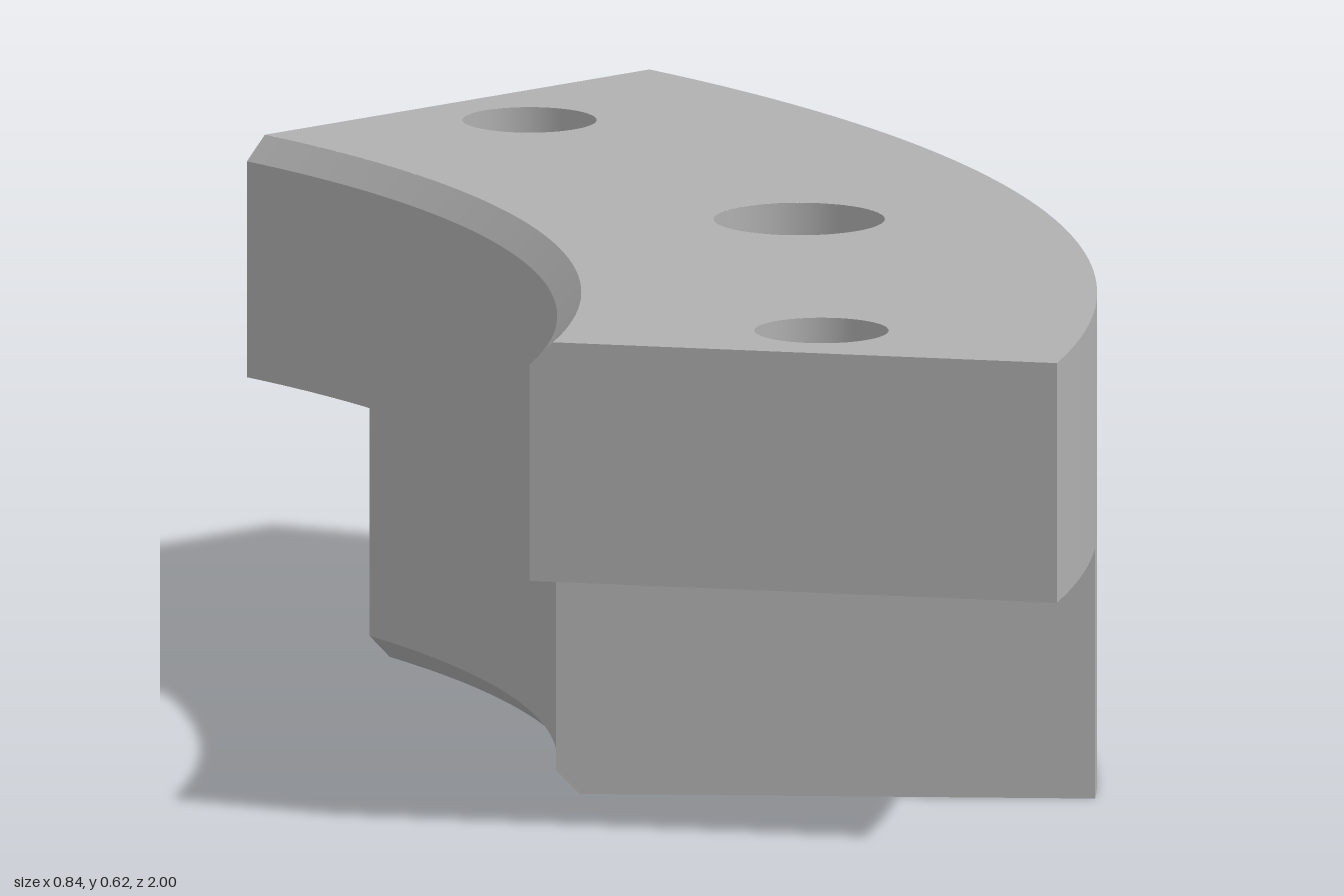
import * as THREE from 'three';

const CX = -1.78;                       // centre of the ring segment lies at x = CX
const R_IN = 1.525, R_OUT = 2.2, CH = 0.03;
const H = 0.625, LEDGE = 0.32;          // total height, underside of the end lugs
const A_TOP = Math.asin(1 / R_OUT);     // half angle of the upper flange
const A_LOW = Math.asin(0.66 / R_OUT);  // half angle of the lower body
const SLOT = { back: -0.1, z: 0.19, y0: 0.2, y1: 0.43 };
const A_SLOT = Math.asin(SLOT.z / R_OUT);
const BOLT = { x: -0.05, z: 0.717, r: 0.084 };
const BORE = { x: 0.11, r: 0.107, thread: 0.086, crest: 0.07 };

// Turn a surface inside out
function flip(g) {
  const idx = g.index.array;
  for (let i = 0; i < idx.length; i += 3) [idx[i], idx[i + 1]] = [idx[i + 1], idx[i]];
  const n = g.attributes.normal.array;
  for (let i = 0; i < n.length; i++) n[i] = -n[i];
  return g;
}

// Ring sector outline with round holes given as [x, y, radius]
function sector(r0, r1, a0, a1, holes = []) {
  const s = new THREE.Shape();
  s.absarc(CX, 0, r1, a0, a1, false);
  s.absarc(CX, 0, r0, a1, a0, true);
  return pierce(s, holes);
}

function pierce(s, holes) {
  for (const [x, y, r] of holes) {
    const p = new THREE.Path();
    p.absarc(x, y, r, 0, Math.PI * 2, true);
    s.holes.push(p);
  }
  return s;
}

// Horizontal face at height y, facing up or down
function face(shape, y, up) {
  return new THREE.ShapeGeometry(shape, 48).rotateX(up ? -Math.PI / 2 : Math.PI / 2).translate(0, y, 0);
}

// Curved wall between two heights and two angles
function arcWall(rLow, rHigh, y0, y1, a0, a1) {
  return new THREE.CylinderGeometry(rHigh, rLow, y1 - y0, 48, 1, true, Math.PI / 2 - a1, a1 - a0)
    .translate(CX, (y0 + y1) / 2, 0);
}

// Flat radial end face from a radius/height outline
function endWall(pts, side, a) {
  const g = new THREE.ShapeGeometry(new THREE.Shape(pts.map(p => new THREE.Vector2(...p))));
  g.rotateY(-side * a).translate(CX, 0, 0);
  return side > 0 ? g : flip(g);
}

// Inside of a round hole
function holeWall(x, z, r, y0, y1) {
  return flip(new THREE.CylinderGeometry(r, r, y1 - y0, 48, 1, true)).translate(x, (y0 + y1) / 2, z);
}

export function createModel() {
  const model = new THREE.Group();
  const grey = new THREE.MeshStandardMaterial({ color: 0xb0b0b0 });
  grey.name = 'plain grey';
  const add = (name, g) => {
    const m = new THREE.Mesh(g, grey);
    m.name = name;
    model.add(m);
  };
  const bolts = [1, -1].map(s => [BOLT.x, s * BOLT.z, BOLT.r]);

  // Top and bottom faces
  add('topFace', face(sector(R_IN + CH, R_OUT, -A_TOP, A_TOP, [...bolts, [BORE.x, 0, BORE.r]]), H, true));
  add('bottomFace', face(sector(R_IN + CH, R_OUT, -A_LOW, A_LOW, [[BORE.x, 0, BORE.thread]]), 0, false));

  // Concave inner walls with chamfers
  add('upperInnerWall', flip(arcWall(R_IN, R_IN, LEDGE, H - CH, -A_TOP, A_TOP)));
  add('topChamfer', flip(arcWall(R_IN, R_IN + CH, H - CH, H, -A_TOP, A_TOP)));
  add('lowerInnerWall', flip(arcWall(R_IN, R_IN, CH, LEDGE, -A_LOW, A_LOW)));
  add('bottomChamfer', flip(arcWall(R_IN + CH, R_IN, 0, CH, -A_LOW, A_LOW)));

  // Convex outer wall above and below the slot
  add('outerWallAboveSlot', arcWall(R_OUT, R_OUT, SLOT.y1, H, -A_SLOT, A_SLOT));
  add('outerWallBelowSlot', arcWall(R_OUT, R_OUT, 0, SLOT.y0, -A_SLOT, A_SLOT));

  const upperEnd = [[R_IN, LEDGE], [R_OUT, LEDGE], [R_OUT, H], [R_IN + CH, H], [R_IN, H - CH]];
  const lowerEnd = [[R_IN + CH, 0], [R_OUT, 0], [R_OUT, LEDGE], [R_IN, LEDGE], [R_IN, CH]];
  const slotFront = CX + R_OUT * Math.cos(A_SLOT);
  const slotH = SLOT.y1 - SLOT.y0, slotMid = (SLOT.y0 + SLOT.y1) / 2;

  // Mirrored parts at both ends
  for (const s of [1, -1]) {
    const span = (a, b) => (s > 0 ? [a, b] : [-b, -a]);
    add('upperOuterWall', arcWall(R_OUT, R_OUT, LEDGE, H, ...span(A_SLOT, A_TOP)));
    add('lowerOuterWall', arcWall(R_OUT, R_OUT, 0, LEDGE, ...span(A_SLOT, A_LOW)));
    add('upperEndWall', endWall(upperEnd, s, A_TOP));
    add('lowerEndWall', endWall(lowerEnd, s, A_LOW));
    const bolt = [[BOLT.x, s * BOLT.z, BOLT.r]];
    add('lugUnderside', face(sector(R_IN, R_OUT, ...span(A_LOW, A_TOP), bolt), LEDGE, false));
    add('boltHole', holeWall(BOLT.x, s * BOLT.z, BOLT.r, LEDGE, H));
    const side = new THREE.PlaneGeometry(slotFront - SLOT.back, slotH);
    side.translate((slotFront + SLOT.back) / 2, slotMid, s * SLOT.z);
    add('slotSide', s > 0 ? flip(side) : side);
  }

  // Slot floor, ceiling and back
  const slotShape = r => {
    const p = new THREE.Shape();
    p.moveTo(SLOT.back, -SLOT.z);
    p.absarc(CX, 0, R_OUT, -A_SLOT, A_SLOT, false);
    p.lineTo(SLOT.back, SLOT.z);
    return pierce(p, [[BORE.x, 0, r]]);
  };
  add('slotFloor', face(slotShape(BORE.thread), SLOT.y0, true));
  add('slotCeiling', face(slotShape(BORE.r), SLOT.y1, false));
  add('slotBack', new THREE.PlaneGeometry(2 * SLOT.z, slotH).rotateY(Math.PI / 2).translate(SLOT.back, slotMid, 0));

  // Wide bore from the top, threaded hole below the slot
  add('bore', holeWall(BORE.x, 0, BORE.r, SLOT.y1, H));
  const thread = new THREE.CylinderGeometry(1, 1, SLOT.y0, 40, 48, true).translate(0, SLOT.y0 / 2, 0);
  const pos = thread.attributes.position;
  for (let i = 0; i < pos.count; i++) {
    const x = pos.getX(i), y = pos.getY(i), z = pos.getZ(i);
    const turn = y / 0.04 + Math.atan2(z, x) / (2 * Math.PI) + 2;
    const ridge = 1 - Math.abs(2 * (turn - Math.floor(turn)) - 1);
    const atEnd = y < 0.001 || y > SLOT.y0 - 0.001;
    const r = atEnd ? BORE.thread : BORE.thread - (BORE.thread - BORE.crest) * ridge;
    pos.setXYZ(i, x * r, y, z * r);
  }
  flip(thread).computeVertexNormals();
  add('threadedHole', thread.translate(BORE.x, 0, 0));

  return model;
}
